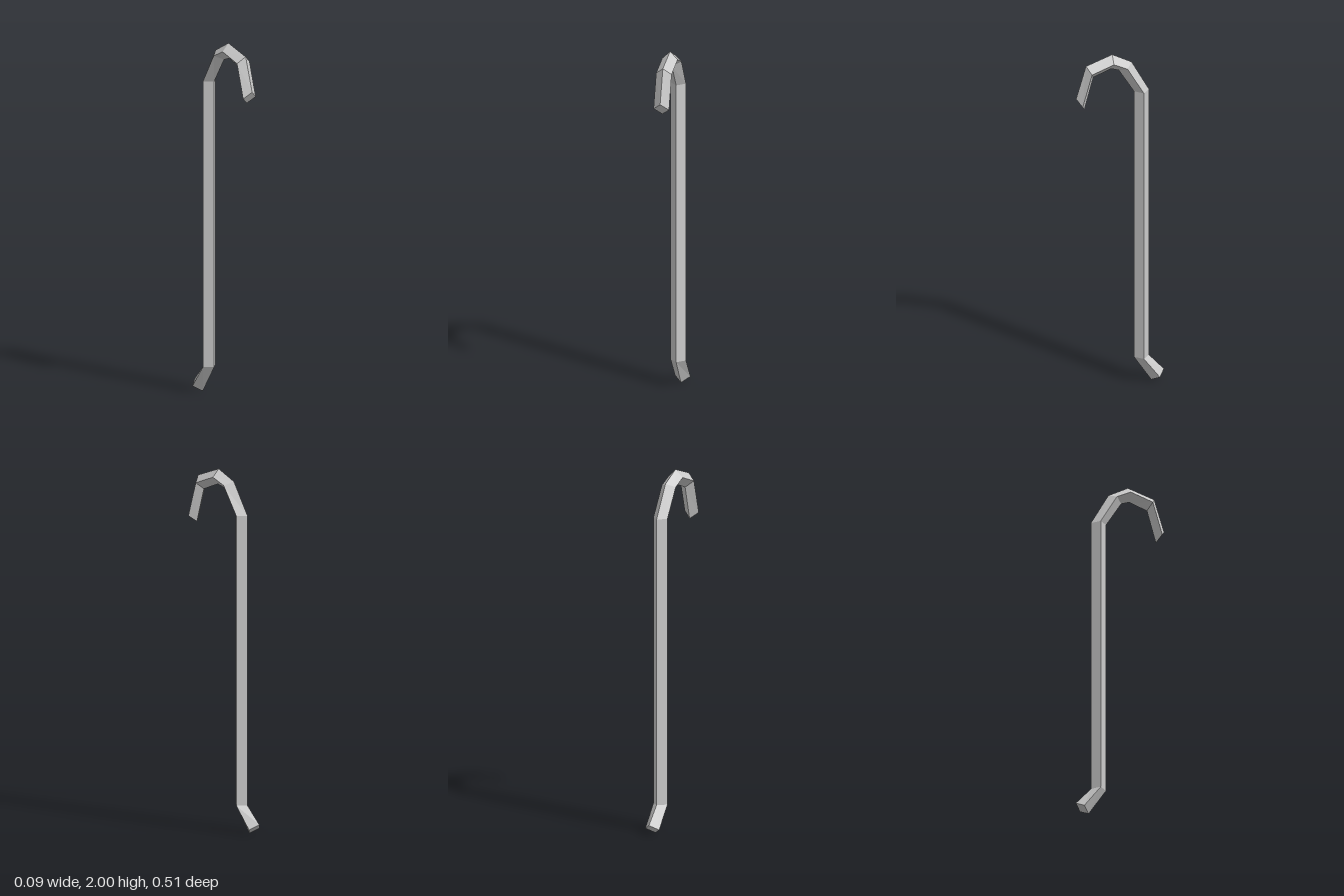
import * as THREE from 'three';

// Stations along the bar: back/outer ridge [z, y], then front/inner ridge [z, y]
const STATIONS = [
  [-0.253, 0.055, -0.18, 0.0], // kicked-back foot tip
  [-0.167, 0.152, -0.08, 0.152], // foot bend
  [-0.167, 1.76, -0.08, 1.76], // top of the shaft
  [-0.067, 1.94, 0.007, 1.9], // hook, rising
  [0.045, 2.0, 0.052, 1.915], // hook, crown
  [0.196, 1.95, 0.154, 1.877], // hook, falling
  [0.253, 1.76, 0.205, 1.69], // hook tip
];
const HALF_WIDTH = 0.044;

// Sweeps a four-sided diamond section through the stations and caps both ends
function diamondBar(stations, halfWidth) {
  const positions = [];
  const index = [];
  for (const [zo, yo, zi, yi] of stations) {
    const y = (yo + yi) / 2;
    const z = (zo + zi) / 2;
    positions.push(0, yo, zo, halfWidth, y, z, 0, yi, zi, -halfWidth, y, z);
  }
  for (let s = 0; s < stations.length - 1; s++) {
    for (let k = 0; k < 4; k++) {
      const a = s * 4 + k;
      const b = s * 4 + ((k + 1) % 4);
      index.push(a, a + 4, b + 4, a, b + 4, b);
    }
  }
  const e = (stations.length - 1) * 4;
  index.push(0, 1, 2, 0, 2, 3, e, e + 2, e + 1, e, e + 3, e + 2);

  const geometry = new THREE.BufferGeometry();
  geometry.setAttribute('position', new THREE.Float32BufferAttribute(positions, 3));
  geometry.setIndex(index);
  const flat = geometry.toNonIndexed();
  flat.computeVertexNormals();
  return flat;
}

export function createModel() {
  const group = new THREE.Group();
  group.name = 'hookedBar';
  const material = new THREE.MeshStandardMaterial({ color: 0xcccccc, flatShading: true });

  // One continuous bar: foot, shaft and hook
  const bar = new THREE.Mesh(diamondBar(STATIONS, HALF_WIDTH), material);
  bar.name = 'bar';
  group.add(bar);
  return group;
}
